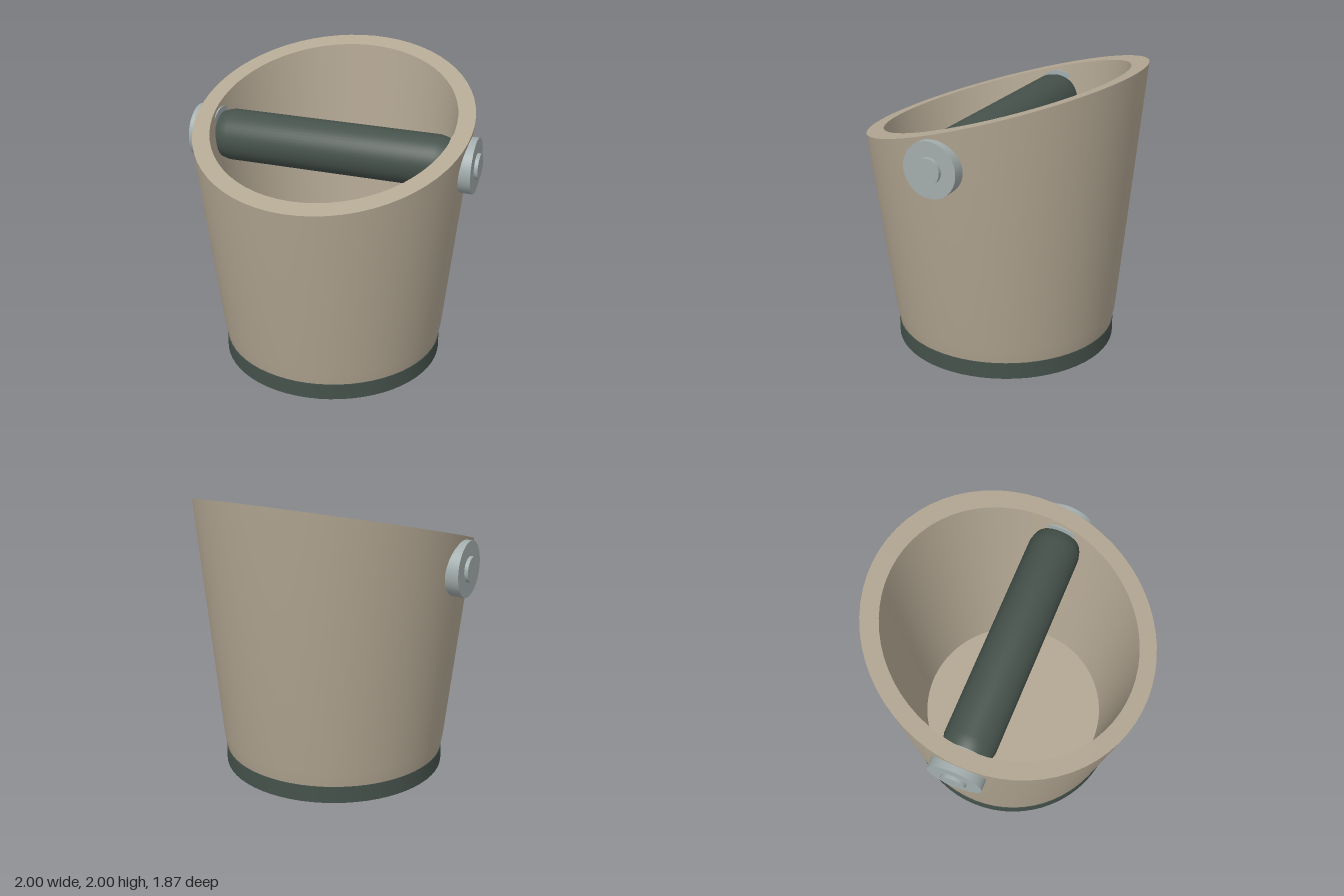
import * as THREE from 'three';
import { toCreasedNormals } from 'three/addons/utils/BufferGeometryUtils.js';

const SEGMENTS = 64;
const RIM_Y = 1.72, RIM_SLOPE = 0.3;

const tan = new THREE.MeshStandardMaterial({ color: 0xb3a793 });
const rubber = new THREE.MeshStandardMaterial({ color: 0x46524c });
const metal = new THREE.MeshStandardMaterial({ color: 0xa3adad });

function lathe(profile, segments = SEGMENTS) {
  return new THREE.LatheGeometry(profile.map(([r, y]) => new THREE.Vector2(r, y)), segments);
}

function part(name, geometry, material, crease = 0.4) {
  const mesh = new THREE.Mesh(toCreasedNormals(geometry, crease), material);
  mesh.name = name;
  return mesh;
}

// Cylinder lying along x, from x0 to x1
function pin(name, radius, x0, x1) {
  const geo = new THREE.CylinderGeometry(radius, radius, x1 - x0, 40);
  geo.rotateZ(-Math.PI / 2).translate((x0 + x1) / 2, 0, 0);
  return part(name, geo, metal);
}

export function createModel() {
  const model = new THREE.Group();
  model.name = 'knockBox';

  // Thick-walled bucket; its rim is slanted up towards the back
  const bucket = lathe([
    [0, 0.07], [0.65, 0.07], [0.65, 0.115], [0.755, 0.115], [0.775, 0.22],
    [0.935, RIM_Y], [0.82, RIM_Y], [0.65, 0.18], [0, 0.18],
  ]);
  const pos = bucket.attributes.position;
  for (let i = 0; i < pos.count; i++) {
    if (pos.getY(i) > RIM_Y - 0.01) pos.setY(i, RIM_Y - RIM_SLOPE * pos.getZ(i));
  }
  model.add(part('bucket', bucket, tan));

  // Rubber ring under the bucket
  model.add(part('baseRing', lathe([
    [0.65, 0], [0.76, 0], [0.76, 0.115], [0.65, 0.115], [0.65, 0],
  ]), rubber));

  // Crossbar with bevelled ends
  const bar = new THREE.Group();
  bar.name = 'crossbar';
  bar.position.y = 1.505;
  const sleeve = lathe([
    [0, -0.8], [0.15, -0.8], [0.163, -0.77], [0.175, -0.72],
    [0.175, 0.72], [0.163, 0.77], [0.15, 0.8], [0, 0.8],
  ], 48);
  sleeve.rotateZ(-Math.PI / 2);
  bar.add(part('barSleeve', sleeve, rubber, 0.6));

  // Metal bosses through the wall, with a small cap on each
  for (const side of [1, -1]) {
    const mount = new THREE.Group();
    mount.name = side > 0 ? 'leftMount' : 'rightMount';
    mount.add(pin('boss', 0.185, 0.805, 0.975), pin('cap', 0.085, 0.97, 1.0));
    if (side < 0) mount.rotation.y = Math.PI;
    bar.add(mount);
  }
  model.add(bar);
  return model;
}
